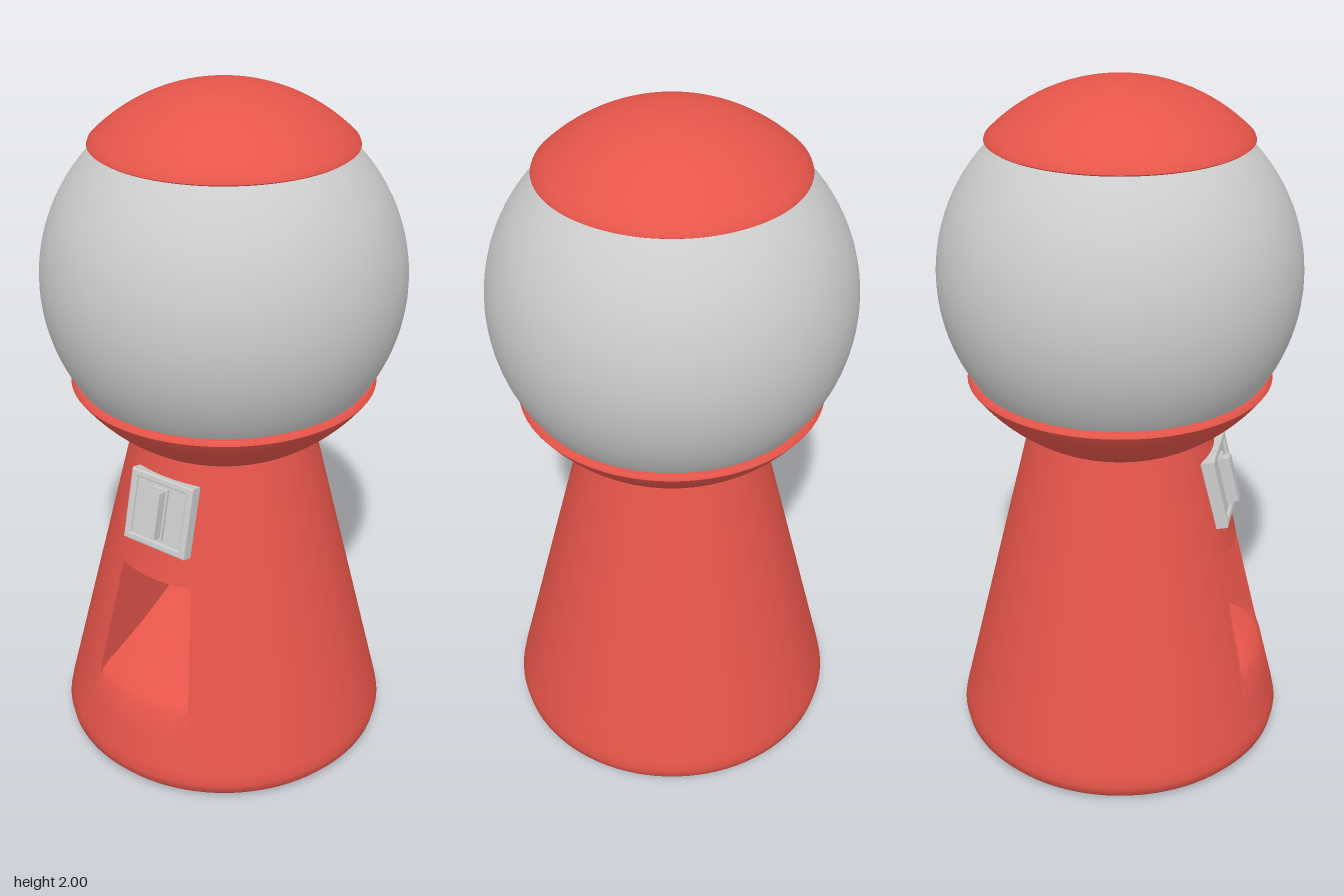
import * as THREE from 'three';
import { toCreasedNormals } from 'three/addons/utils/BufferGeometryUtils.js';

const red = new THREE.MeshStandardMaterial({ color: 0xe6554a, side: THREE.DoubleSide });
const grey = new THREE.MeshStandardMaterial({ color: 0xcccccc });
const { lerp, clamp } = THREE.MathUtils;

function addMesh(parent, name, geometry, material, x = 0, y = 0, z = 0) {
  const mesh = new THREE.Mesh(geometry, material);
  mesh.name = name;
  mesh.position.set(x, y, z);
  parent.add(mesh);
  return mesh;
}

function lathe(points) {
  const profile = points.map(([r, y]) => new THREE.Vector2(r, y));
  return toCreasedNormals(new THREE.LatheGeometry(profile, 96), 0.6);
}

// Points on a circular arc centred on the axis, between two heights
function arc(radius, centreY, y0, y1, steps) {
  return Array.from({ length: steps + 1 }, (_, i) => {
    const a0 = Math.asin((y0 - centreY) / radius);
    const a1 = Math.asin(Math.min(1, (y1 - centreY) / radius));
    const a = lerp(a0, a1, i / steps);
    return [Math.max(0, radius * Math.cos(a)), centreY + radius * Math.sin(a)];
  });
}

// Tapered hollow body with a dispensing chute sunk into its front
function bodyGeometry() {
  const coneRadius = (y) => 0.483 - 0.2424 * (y - 0.09);
  const chute = [[0.265, 0], [0.285, 0.03], [0.3, 0.08], [0.315, 0.16], [0.37, 0.42],
    [0.43, 0.65], [0.5, 0.85], [0.58, 0.95], [0.65, 1]]; // height, depth fraction
  const rows = [[0.32, 0], [0.42, 0], [0.445, 0.004], [0.468, 0.015], [0.484, 0.034],
    [0.489, 0.06], [0.483, 0.09]].map(([r, y]) => ({ r, y }));
  rows.push({ r: coneRadius(0.18), y: 0.18 });
  for (const [y, depth] of chute) rows.push({ r: coneRadius(y), y, depth });
  for (const y of [0.65, 0.75, 0.88, 1.01]) rows.push({ r: coneRadius(y), y });

  // Front columns follow the chute edges, the others are evenly spaced angles
  const sector = 0.8, columns = [];
  for (let i = 0; i <= 8; i++) columns.push({ k: -1, out: 1 - i / 8 });
  for (let i = 0; i <= 10; i++) columns.push({ k: -1 + i / 5, out: 0, inside: true });
  for (let i = 0; i <= 8; i++) columns.push({ k: 1, out: i / 8 });
  for (let i = 1; i <= 72; i++) {
    columns.push({ angle: sector + (i / 72) * (2 * Math.PI - 2 * sector) });
  }

  const positions = [], index = [];
  for (const { r, y, depth } of rows) {
    const width = lerp(0.163, 0.122, clamp((y - 0.3) / 0.35, 0, 1));
    const edge = Math.asin(width / r);
    for (const { k, out, inside, angle } of columns) {
      const a = angle ?? k * lerp(edge, sector, out);
      let x = r * Math.sin(a), z = r * Math.cos(a);
      if (inside && depth !== undefined) {
        x *= 1 - 0.15 * depth;
        z = lerp(z, -0.02, depth);
      }
      positions.push(x, y, z);
    }
  }
  const n = columns.length;
  for (let i = 0; i < rows.length - 1; i++) {
    for (let j = 0; j < n - 1; j++) {
      const a = i * n + j, b = a + 1, c = b + n, d = a + n;
      index.push(a, b, c, a, c, d);
    }
  }
  const geometry = new THREE.BufferGeometry();
  geometry.setAttribute('position', new THREE.Float32BufferAttribute(positions, 3));
  geometry.setIndex(index);
  return toCreasedNormals(geometry, 0.7);
}

function rectangle(Type, w, h) {
  const path = new Type();
  path.moveTo(-w / 2, -h / 2).lineTo(w / 2, -h / 2).lineTo(w / 2, h / 2).lineTo(-w / 2, h / 2);
  path.closePath();
  return path;
}

// Flat rectangular ring with a small bevel
function frameGeometry(w, h, border, depth, bevel) {
  const shape = rectangle(THREE.Shape, w - 2 * bevel, h - 2 * bevel);
  shape.holes.push(rectangle(THREE.Path, w - 2 * border + 2 * bevel, h - 2 * border + 2 * bevel));
  return new THREE.ExtrudeGeometry(shape, {
    depth: depth - 2 * bevel, bevelSize: bevel, bevelThickness: bevel, bevelSegments: 2,
  }).translate(0, 0, bevel);
}

export function createModel() {
  const model = new THREE.Group();

  addMesh(model, 'body', bodyGeometry(), red);

  // Bowl that cradles the globe
  addMesh(model, 'globeCollar', lathe([
    [0, 1.005], ...arc(0.527, 1.465, 1.005, 1.165, 12), [0.43, 1.172], [0.425, 1.178], [0.4, 1.178],
  ]), red);

  addMesh(model, 'globe', new THREE.SphereGeometry(0.505, 96, 64), grey, 0, 1.465, 0);

  // Domed lid with a thin overhanging rim
  addMesh(model, 'lid', lathe([
    [0.32, 1.84], [0.355, 1.84], [0.361, 1.844], ...arc(0.507, 1.493, 1.852, 2, 16),
  ]), red);

  // Coin plate leaning with the slope of the body; local z = 0 is its front face
  const coinPlate = new THREE.Group();
  coinPlate.name = 'coinPlate';
  coinPlate.position.set(0, 0.852, 0.317);
  coinPlate.rotation.x = -Math.atan(0.2424);
  model.add(coinPlate);
  addMesh(coinPlate, 'plateFrame', frameGeometry(0.215, 0.212, 0.022, 0.04, 0.005), grey, 0, 0, -0.04);
  addMesh(coinPlate, 'platePanel', new THREE.BoxGeometry(0.18, 0.177, 0.03), grey, 0, 0, -0.023);
  addMesh(coinPlate, 'slotFrame', frameGeometry(0.05, 0.152, 0.006, 0.012, 0.002), grey, 0, 0, -0.01);
  addMesh(coinPlate, 'handle', new THREE.BoxGeometry(0.034, 0.14, 0.04), grey, 0, 0, 0.005);

  return model;
}
